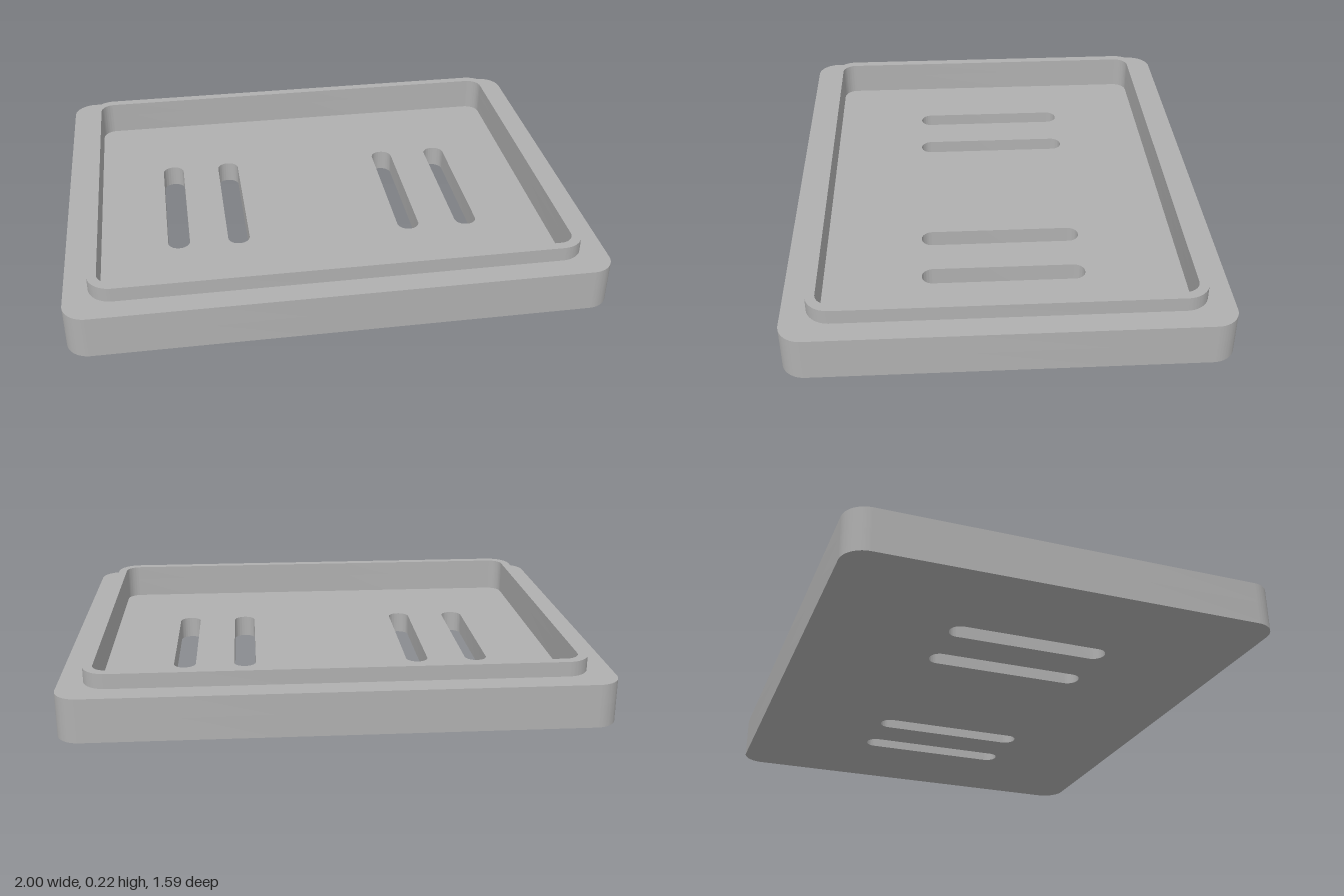
import * as THREE from 'three';
import { toCreasedNormals } from 'three/addons/utils/BufferGeometryUtils.js';

// Rounded rectangle centred on (cx, 0), given half sizes and corner radius
function roundedRect(Type, hx, hz, r, cx = 0) {
  const s = new Type();
  s.moveTo(cx + hx, -hz + r);
  s.lineTo(cx + hx, hz - r);
  s.absarc(cx + hx - r, hz - r, r, 0, Math.PI / 2);
  s.absarc(cx - hx + r, hz - r, r, Math.PI / 2, Math.PI);
  s.absarc(cx - hx + r, -hz + r, r, Math.PI, Math.PI * 1.5);
  s.absarc(cx + hx - r, -hz + r, r, Math.PI * 1.5, Math.PI * 2);
  return s;
}

const outline = () => roundedRect(THREE.Shape, 1, 0.796, 0.087);
const pocket = () => roundedRect(THREE.Path, 0.877, 0.673, 0.056);

export function createModel() {
  const group = new THREE.Group();
  const grey = new THREE.MeshStandardMaterial({ color: 0xb0b0b0 });
  grey.name = 'grey';

  // Horizontal slab between heights y0 and y1, with holes cut through
  function slab(name, shape, holes, y0, y1) {
    shape.holes.push(...holes);
    let g = new THREE.ExtrudeGeometry(shape, { depth: y1 - y0, bevelEnabled: false, curveSegments: 12 });
    g.rotateX(-Math.PI / 2);
    g.translate(0, y0, 0);
    g = toCreasedNormals(g, Math.PI / 6);
    const mesh = new THREE.Mesh(g, grey);
    mesh.name = name;
    group.add(mesh);
  }

  const floorY = 0.085, ledgeY = 0.164, topY = 0.22;

  // Floor with two pairs of long slots
  const slots = [-0.577, -0.342, 0.338, 0.573].map((x) => roundedRect(THREE.Path, 0.0425, 0.307, 0.0415, x));
  slab('floor', outline(), slots, 0, floorY);

  // Thick surrounding wall and the thin raised lip on it
  slab('wall', outline(), [pocket()], floorY, ledgeY);
  slab('lip', roundedRect(THREE.Shape, 0.912, 0.708, 0.09), [pocket()], ledgeY, topY);

  return group;
}
